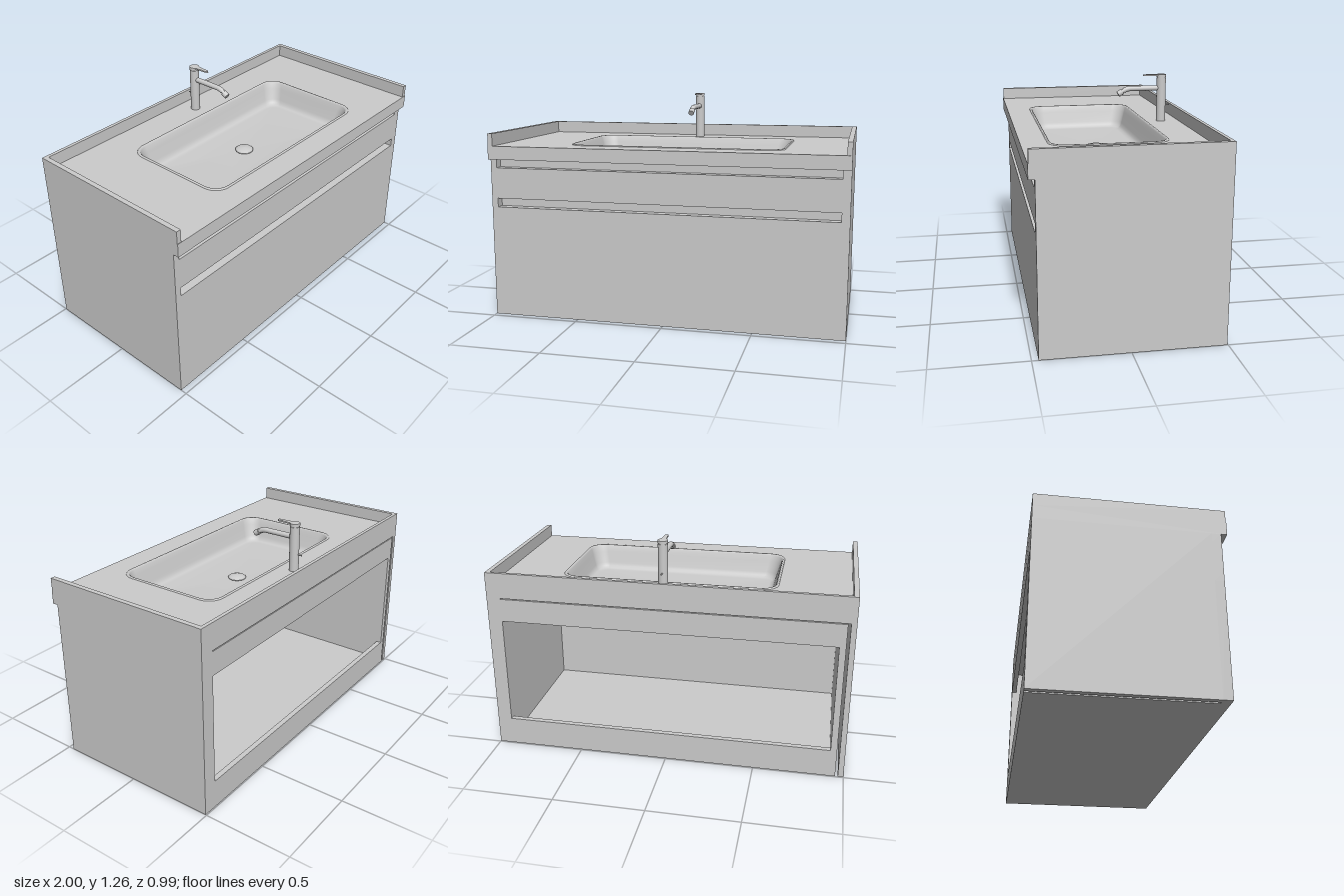
import * as THREE from 'three';

const grey = new THREE.MeshStandardMaterial({ color: 0xcccccc });
const greyDouble = new THREE.MeshStandardMaterial({ color: 0xcccccc, side: THREE.DoubleSide });

const BASIN = { x0: -0.57, x1: 0.635, z0: -0.275, z1: 0.35, r: 0.085 };
const DRAIN = { x: 0.03, z: 0.015 };
const TAP = { x: 0.03, z: -0.372 };

// Rounded rectangle outline of the basin, moved inwards by inset
function basinOutline(inset) {
  const { x0, x1, z0, z1, r } = BASIN;
  const rad = r - inset * 0.4;
  const corners = [[x1, z1, -1, -1], [x0, z1, 1, -1], [x0, z0, 1, 1], [x1, z0, -1, 1]];
  const points = [];
  corners.forEach(([x, z, sx, sz], c) => {
    for (let i = 0; i <= 8; i++) {
      const a = (c + i / 8) * Math.PI / 2;
      points.push(new THREE.Vector2(
        x + sx * (inset + rad) + rad * Math.cos(a),
        z + sz * (inset + rad) + rad * Math.sin(a)));
    }
  });
  return points;
}

// Skin through basin outlines, closed with a fan at the drain
function basinSkin(levels, centreY) {
  const positions = [], index = [];
  const n = basinOutline(0).length;
  for (const [inset, y] of levels) {
    for (const p of basinOutline(inset)) positions.push(p.x, y, p.y);
  }
  for (let k = 0; k < levels.length - 1; k++) {
    for (let i = 0; i < n; i++) {
      const a = k * n + i, b = k * n + (i + 1) % n;
      index.push(a, a + n, b, b, a + n, b + n);
    }
  }
  const centre = positions.length / 3, last = (levels.length - 1) * n;
  positions.push(DRAIN.x, centreY, DRAIN.z);
  for (let i = 0; i < n; i++) index.push(last + i, centre, last + (i + 1) % n);
  const geometry = new THREE.BufferGeometry();
  geometry.setAttribute('position', new THREE.Float32BufferAttribute(positions, 3));
  geometry.setIndex(index);
  geometry.computeVertexNormals();
  return geometry;
}

function add(parent, name, geometry, material = grey) {
  const mesh = new THREE.Mesh(geometry, material);
  mesh.name = name;
  parent.add(mesh);
  return mesh;
}

// Box given by its limits on each axis
function box(parent, name, [x0, x1], [y0, y1], [z0, z1]) {
  const mesh = add(parent, name, new THREE.BoxGeometry(x1 - x0, y1 - y0, z1 - z0));
  mesh.position.set((x0 + x1) / 2, (y0 + y1) / 2, (z0 + z1) / 2);
  return mesh;
}

function group(parent, name) {
  const g = new THREE.Group();
  g.name = name;
  parent.add(g);
  return g;
}

function buildCabinet(parent) {
  const g = group(parent, 'cabinet');
  const back = -0.495, front = 0.465, inner = 0.415;
  box(g, 'leftSide', [0.92, 1], [0, 0.91], [back, inner]);
  // The right side is doubled with a narrow gap
  box(g, 'rightSide', [-0.955, -0.92], [0, 0.905], [back, inner]);
  box(g, 'rightOuterPanel', [-1, -0.97], [0, 0.91], [back, inner]);
  box(g, 'floor', [-0.92, 0.92], [0, 0.04], [back + 0.03, inner]);
  box(g, 'lowerBackRail', [-0.92, 0.92], [0, 0.16], [back, back + 0.03]);
  box(g, 'upperBackRail', [-0.92, 0.92], [0.775, 0.905], [back, back + 0.03]);

  // Drawer fronts with grip channels above them
  box(g, 'lowerDrawerFront', [-1, 1], [0, 0.635], [inner, front]);
  box(g, 'upperDrawerFront', [-1, 1], [0.685, 0.86], [inner, front]);
  for (const [y0, y1] of [[0.635, 0.685], [0.86, 0.91]]) {
    box(g, 'gripChannelBack', [-0.965, 0.955], [y0 - 0.02, y1], [inner - 0.025, inner]);
    box(g, 'gripChannelEnd', [-1, -0.965], [y0, y1], [inner, front]);
    box(g, 'gripChannelEnd', [0.955, 1], [y0, y1], [inner, front]);
  }
}

function buildCountertop(parent) {
  const g = group(parent, 'countertop');
  const outline = new THREE.Shape([
    new THREE.Vector2(-1, -0.495), new THREE.Vector2(1, -0.495),
    new THREE.Vector2(1, 0.497), new THREE.Vector2(-1, 0.497)]);
  outline.holes.push(new THREE.Path(basinOutline(0)));
  const slab = new THREE.ExtrudeGeometry(outline, { depth: 0.075, bevelEnabled: false });
  slab.rotateX(Math.PI / 2);
  add(g, 'slab', slab).position.y = 0.985;

  // Raised edges at the back and both ends
  box(g, 'backUpstand', [-0.973, 0.973], [0.985, 1.055], [-0.495, -0.475]);
  for (const s of [-1, 1]) {
    const upstand = box(g, 'sideUpstand', [-0.0135, 0.0135], [0.985, 1.055], [-0.495, 0.494]);
    upstand.position.x = s * 0.9865;
  }
}

function buildBasin(parent) {
  const g = group(parent, 'basin');
  add(g, 'bowl', basinSkin([
    [-0.008, 0.985], [-0.005, 0.99], [0.003, 0.99], [0.009, 0.982], [0.018, 0.95],
    [0.036, 0.885], [0.044, 0.866], [0.056, 0.854], [0.075, 0.849],
  ], 0.838), greyDouble);
  add(g, 'underside', basinSkin([
    [-0.012, 0.912], [0, 0.85], [0.01, 0.825], [0.025, 0.808], [0.05, 0.8],
  ], 0.798), greyDouble);

  // Domed drain cover
  const profile = [[0, 0.02], [0.025, 0.018], [0.045, 0.012], [0.052, 0.006], [0.05, 0], [0.03, -0.008]];
  const drain = add(g, 'drainCover', new THREE.LatheGeometry(
    profile.map(([r, y]) => new THREE.Vector2(r, y)).reverse(), 36), greyDouble);
  drain.position.set(DRAIN.x, 0.842, DRAIN.z);
}

function buildTap(parent) {
  const g = group(parent, 'tap');
  g.position.set(TAP.x, 0, TAP.z);
  add(g, 'body', new THREE.CylinderGeometry(0.027, 0.027, 0.253, 32)).position.y = 1.1115;
  add(g, 'neck', new THREE.CylinderGeometry(0.024, 0.024, 0.006, 32)).position.y = 1.24;
  add(g, 'cap', new THREE.CylinderGeometry(0.028, 0.028, 0.015, 32)).position.y = 1.2505;

  // Flat tapered lever pointing forwards
  const lever = new THREE.Shape();
  lever.moveTo(-0.022, 0);
  lever.lineTo(0.022, 0);
  lever.quadraticCurveTo(0.011, 0.03, 0.01, 0.1);
  lever.quadraticCurveTo(0, 0.118, -0.01, 0.1);
  lever.quadraticCurveTo(-0.011, 0.03, -0.022, 0);
  const leverGeometry = new THREE.ExtrudeGeometry(lever, { depth: 0.008, bevelEnabled: false });
  leverGeometry.rotateX(Math.PI / 2);
  add(g, 'lever', leverGeometry).position.y = 1.258;
  const pin = add(g, 'rearPin', new THREE.CylinderGeometry(0.004, 0.004, 0.025, 12));
  pin.rotation.x = Math.PI / 2;
  pin.position.set(0, 1.08, -0.036);

  // Spout with a bent end and angled outlet
  const path = new THREE.CurvePath();
  const p = (y, z) => new THREE.Vector3(0, y, z);
  path.add(new THREE.LineCurve3(p(1.178, 0.015), p(1.178, 0.182)));
  path.add(new THREE.QuadraticBezierCurve3(p(1.178, 0.182), p(1.178, 0.204), p(1.167, 0.222)));
  add(g, 'spout', new THREE.TubeGeometry(path, 40, 0.015, 20), greyDouble);
  const outlet = group(g, 'outlet');
  outlet.position.set(0, 1.167, 0.222);
  outlet.rotation.x = Math.PI / 2 + 0.53;
  add(outlet, 'joint', new THREE.CylinderGeometry(0.011, 0.011, 0.024, 20)).position.y = 0.004;
  add(outlet, 'aerator', new THREE.CylinderGeometry(0.017, 0.017, 0.03, 24)).position.y = 0.025;
}

export function createModel() {
  const model = new THREE.Group();
  model.name = 'vanityUnit';
  buildCabinet(model);
  buildCountertop(model);
  buildBasin(model);
  buildTap(model);
  return model;
}
